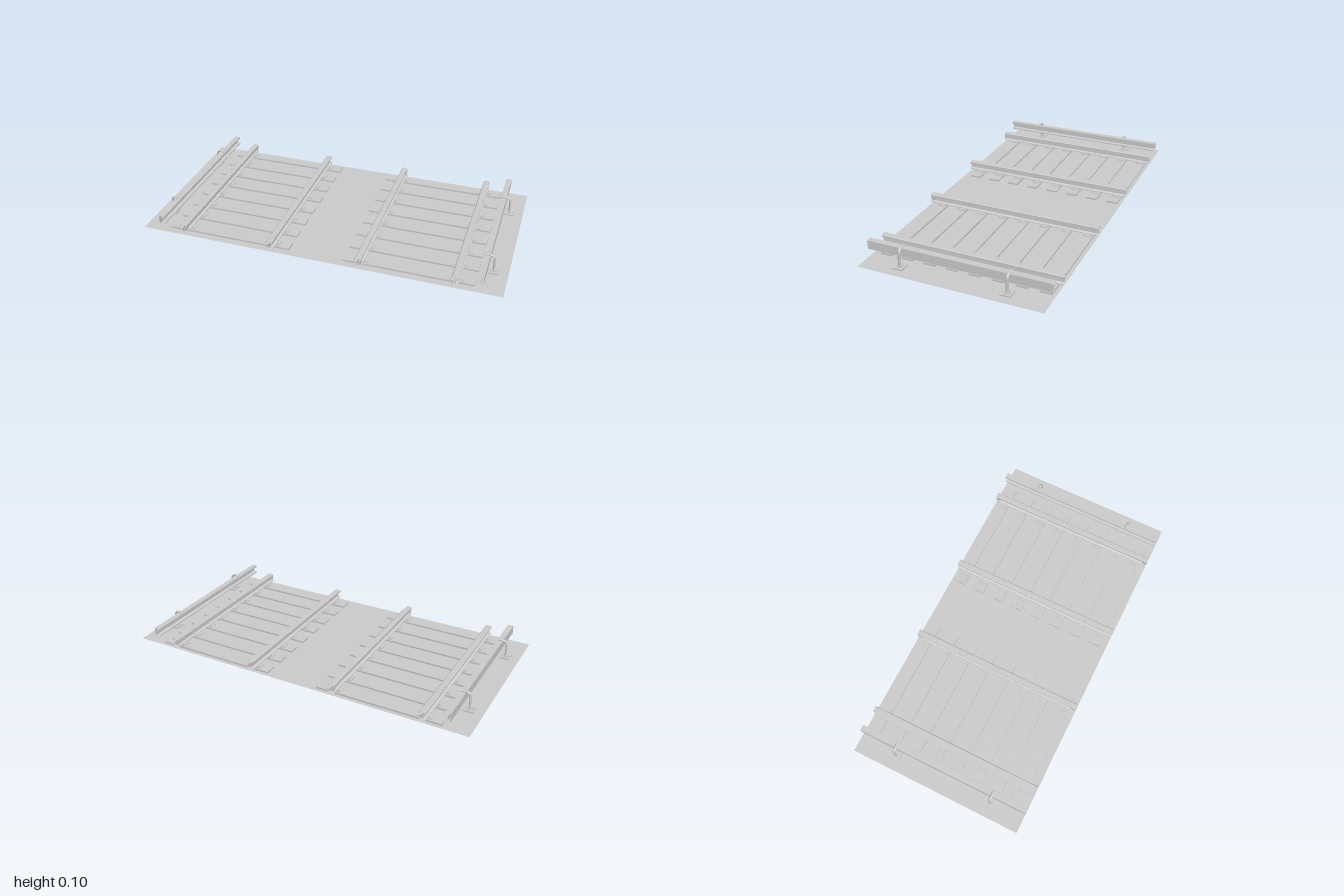
import * as THREE from 'three';

const grey = new THREE.MeshStandardMaterial({ color: 0xcccccc, flatShading: true, side: THREE.DoubleSide });
const smooth = new THREE.MeshStandardMaterial({ color: 0xcccccc, side: THREE.DoubleSide });

function add(parent, name, geometry, x = 0, y = 0, z = 0, material = grey) {
  const mesh = new THREE.Mesh(geometry, material);
  mesh.name = name;
  mesh.position.set(x, y, z);
  parent.add(mesh);
  return mesh;
}

// Open-ended skin of a closed [x, y] outline, drawn out along z
function openExtrusion(outline, length) {
  const pos = [];
  outline.forEach(([ax, ay], i) => {
    const [bx, by] = outline[(i + 1) % outline.length];
    const h = length / 2;
    pos.push(ax, ay, -h, bx, by, -h, bx, by, h, ax, ay, -h, bx, by, h, ax, ay, h);
  });
  const g = new THREE.BufferGeometry();
  g.setAttribute('position', new THREE.Float32BufferAttribute(pos, 3));
  g.computeVertexNormals();
  return g;
}

// Half outline of the running rail, mirrored to a full one
const half = [[0.019, 0.013], [0.019, 0.017], [0.005, 0.022], [0.004, 0.044], [0.017, 0.048], [0.017, 0.057], [0.013, 0.061]];
const railOutline = [...half, ...half.map(([x, y]) => [-x, y]).reverse()];

// Conductor rail: channel open towards the track
const channel = [[0.016, 0.047], [0.016, 0.095], [-0.016, 0.095], [-0.016, 0.085],
  [0.004, 0.083], [0.004, 0.056], [-0.016, 0.053], [-0.016, 0.047]];

const sleeperZ = Array.from({ length: 8 }, (_, i) => 0.4275 - 0.125 * i);

function createTrack(name, centre) {
  const track = new THREE.Group();
  track.name = name;
  track.position.x = centre;

  const sleeper = new THREE.BoxGeometry(0.7, 0.01, 0.063);
  const plate = new THREE.BoxGeometry(0.078, 0.004, 0.045);
  const spike = new THREE.BoxGeometry(0.008, 0.006, 0.008);
  const joint = new THREE.BoxGeometry(0.004, 0.02, 0.025);
  const rail = openExtrusion(railOutline, 1);

  for (const z of sleeperZ) add(track, 'sleeper', sleeper, 0, 0.005, z);

  for (const side of [-1, 1]) {
    const x = side * 0.253;
    add(track, 'runningRail', rail, x);
    for (const z of sleeperZ) {
      add(track, 'tiePlate', plate, x, 0.012, z);
      for (const s of [-1, 1]) add(track, 'spike', spike, x + s * 0.025, 0.016, z + s * 0.012);
    }
    // Joint bars on the inner face at both rail ends
    for (const end of [-1, 1]) add(track, 'jointBar', joint, x - side * 0.013, 0.036, end * 0.487);
  }
  return track;
}

// Conductor rail and its hooked brackets, built for the +x side
function createConductor(name, side) {
  const group = new THREE.Group();
  group.name = name;

  const outline = channel.map(([x, y]) => [side * x, y]);
  add(group, 'conductorRail', openExtrusion(outline, 1), side * 0.881);

  const path = new THREE.CurvePath();
  const v = (x, y) => new THREE.Vector3(side * x, y, 0);
  path.add(new THREE.LineCurve3(v(0.921, 0), v(0.921, 0.075)));
  path.add(new THREE.CubicBezierCurve3(v(0.921, 0.075), v(0.921, 0.092), v(0.913, 0.1), v(0.895, 0.1)));
  path.add(new THREE.LineCurve3(v(0.895, 0.1), v(0.87, 0.1)));
  const hook = new THREE.TubeGeometry(path, 32, 0.005, 10, false).scale(1, 1, 1.8);
  const base = new THREE.BoxGeometry(0.056, 0.007, 0.056);
  const collar = new THREE.BoxGeometry(0.02, 0.006, 0.028);
  const bolt = new THREE.CylinderGeometry(0.004, 0.004, 0.005, 6);

  for (const z of [0.302, -0.281]) {
    const bracket = new THREE.Group();
    bracket.name = 'bracket';
    bracket.position.z = z;
    add(bracket, 'bracketBase', base, side * 0.922, 0.0035);
    add(bracket, 'bracketCollar', collar, side * 0.921, 0.009);
    add(bracket, 'bracketHook', hook, 0, 0, 0, smooth);
    for (const s of [-1, 1]) add(bracket, 'bracketBolt', bolt, side * 0.922 + s * 0.019, 0.009, 0);
    group.add(bracket);
  }
  return group;
}

export function createModel() {
  const model = new THREE.Group();
  model.name = 'doubleTrack';

  // Thin bed under both tracks
  add(model, 'trackBed', new THREE.PlaneGeometry(2, 1).rotateX(-Math.PI / 2));

  model.add(createTrack('leftTrack', 0.5), createTrack('rightTrack', -0.5));
  model.add(createConductor('leftConductor', 1), createConductor('rightConductor', -1));
  return model;
}
